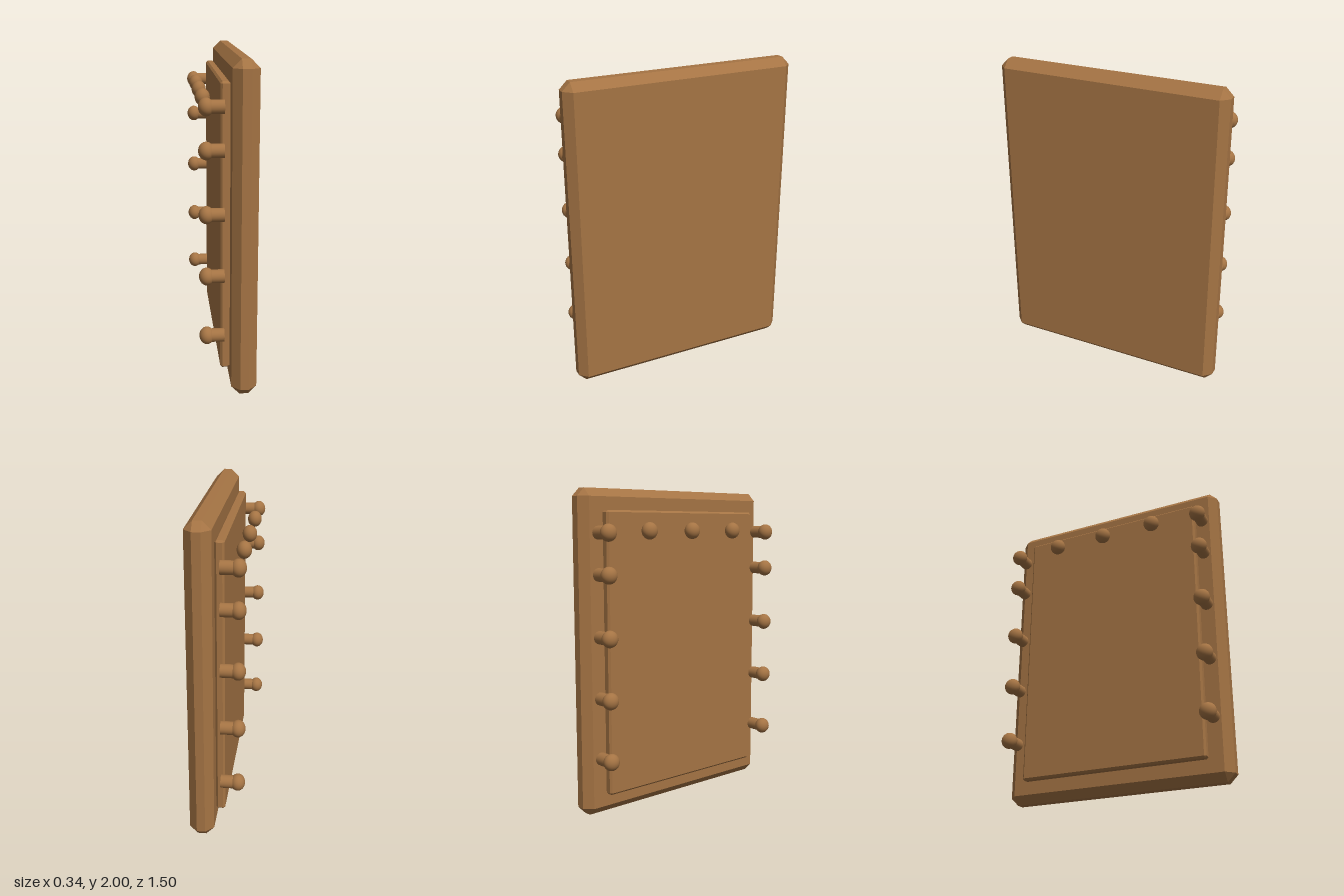
import * as THREE from 'three';
import { ConvexGeometry } from 'three/addons/geometries/ConvexGeometry.js';

const wood = new THREE.MeshStandardMaterial({ color: 0xa57444 });
wood.name = 'wood';

// Box with flat bevelled edges and triangular corners
function bevelledBox(w, h, d, c) {
  const points = [];
  for (const sx of [-1, 1]) for (const sy of [-1, 1]) for (const sz of [-1, 1]) {
    const x = w / 2, y = h / 2, z = d / 2;
    points.push(
      new THREE.Vector3(sx * x, sy * (y - c), sz * (z - c)),
      new THREE.Vector3(sx * (x - c), sy * y, sz * (z - c)),
      new THREE.Vector3(sx * (x - c), sy * (y - c), sz * z));
  }
  return new ConvexGeometry(points);
}

export function createModel() {
  const model = new THREE.Group();
  model.name = 'studdedBoard';
  const add = (name, geometry, x, y, z) => {
    const mesh = new THREE.Mesh(geometry, wood);
    mesh.name = name;
    mesh.position.set(x, y, z);
    model.add(mesh);
    return mesh;
  };

  // Main slab and the thinner panel on its side
  add('slab', bevelledBox(0.152, 2, 1.5, 0.05), 0.092, 1, 0);
  add('panel', bevelledBox(0.057, 1.74, 1.226, 0.012), -0.0135, 1, -0.001);

  // Studs: slightly flattened round heads on short shafts
  const headGeometry = new THREE.SphereGeometry(0.052, 24, 16).scale(0.86, 1, 1);
  const shaftGeometry = new THREE.CylinderGeometry(0.04, 0.04, 0.1, 24).rotateZ(Math.PI / 2);

  // Two columns of studs along the panel's edges
  for (const z of [-0.67, 0.664]) {
    for (const y of [0.375, 0.748, 1.12, 1.492, 1.738]) {
      add('studHead', headGeometry, -0.127, y, z);
      add('studShaft', shaftGeometry, -0.074, y, z);
    }
  }

  // Row of heads across the top
  for (const z of [-0.363, -0.016, 0.342]) add('topStudHead', headGeometry, -0.127, 1.748, z);

  return model;
}
